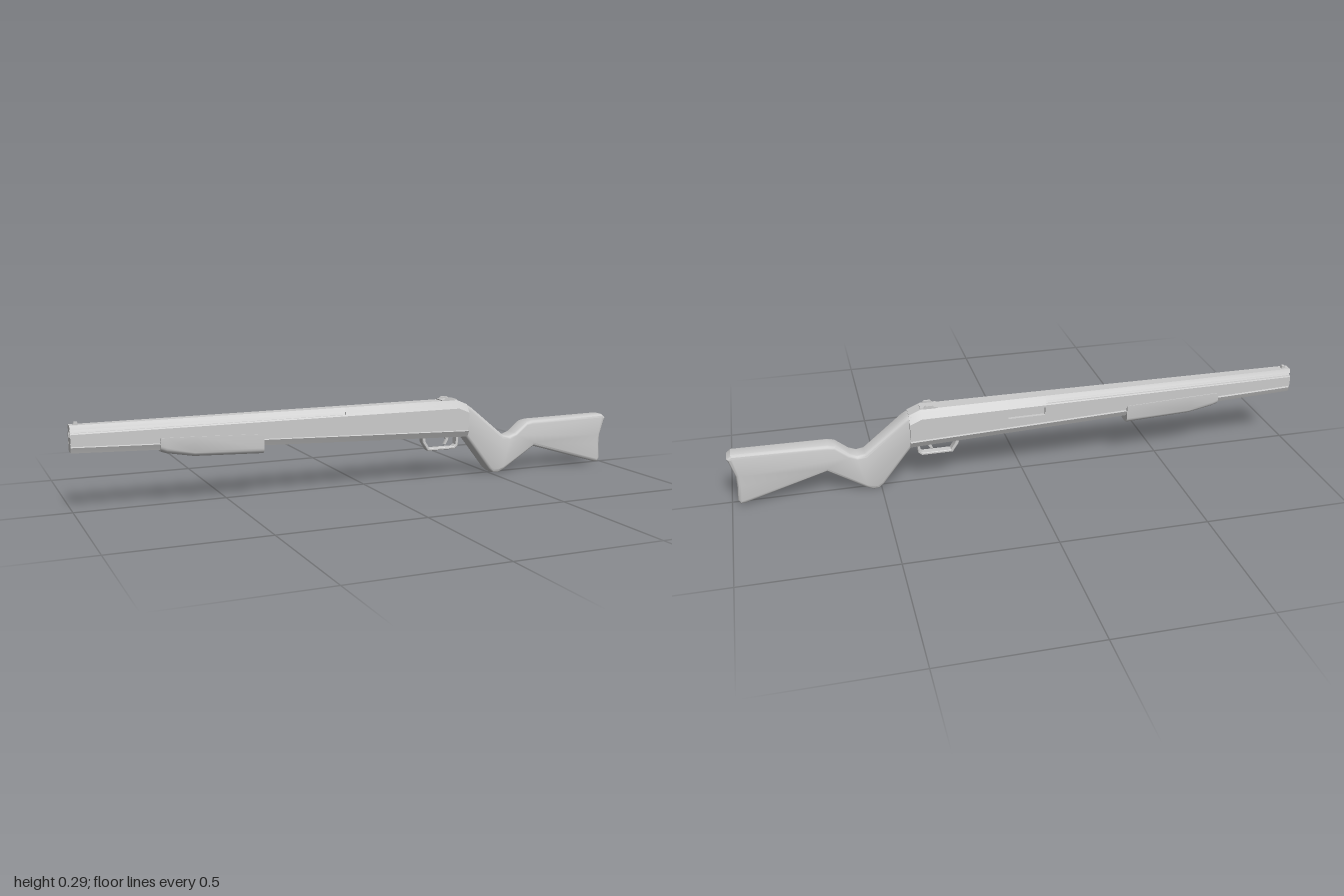
import * as THREE from 'three';
import { toCreasedNormals } from 'three/addons/utils/BufferGeometryUtils.js';

const material = new THREE.MeshStandardMaterial({ color: 0xcccccc });
const thin = new THREE.MeshStandardMaterial({ color: 0xcccccc, side: THREE.DoubleSide });
const lerp = THREE.MathUtils.lerp;

function add(parent, name, geometry, x = 0, y = 0, z = 0, mat = material) {
  const mesh = new THREE.Mesh(geometry, mat);
  mesh.name = name;
  mesh.position.set(x, y, z);
  parent.add(mesh);
  return mesh;
}

// Skin rings of [z, y] points placed along x
function loft(stations, crease) {
  const pos = [], t = new THREE.Triangle();
  const tri = (...p) => {
    t.set(...p);
    if (t.getArea() > 1e-9) p.forEach(v => pos.push(v.x, v.y, v.z));
  };
  const rings = stations.map(s => s.ring.map(([z, y]) => new THREE.Vector3(s.x, y, z)));
  for (let i = 0; i + 1 < rings.length; i++) {
    const A = rings[i], B = rings[i + 1], n = A.length;
    for (let j = 0; j < n; j++) {
      const k = (j + 1) % n;
      tri(A[j], A[k], B[k]);
      tri(A[j], B[k], B[j]);
    }
  }
  const g = new THREE.BufferGeometry();
  g.setAttribute('position', new THREE.Float32BufferAttribute(pos, 3));
  g.computeVertexNormals();
  return toCreasedNormals(g, crease);
}

// Flat end for a ring, facing -x or +x, with an optional round hole
function cap(parent, name, station, dir, hole) {
  const shape = new THREE.Shape(station.ring.map(([z, y]) => new THREE.Vector2(-dir * z, y)));
  if (hole) shape.holes.push(new THREE.Path().absarc(0, hole.y, hole.r, 0, Math.PI * 2, true));
  const mesh = add(parent, name, new THREE.ShapeGeometry(shape, 12), station.x);
  mesh.rotation.y = dir * Math.PI / 2;
}

// Body cross-section: chamfered top, side grooves, seam above the lower tube
function bodySection(x, { groove = 0, port = 0, drop = 0 } = {}) {
  const f = (x + 1) / 1.38;
  const w = lerp(0.026, 0.045, f), t = lerp(0.015, 0.025, f);
  const seam = lerp(0.23, 0.187, f), base = lerp(0.199, 0.152, f);
  const top = 0.286 - drop, shoulder = 0.258 - drop;
  const at = k => [lerp(t, w, k), lerp(top, shoulder, k)];
  const half = side => {
    const p = side < 0 ? port * 0.012 : 0;
    const d = groove * 0.007;
    const [z1, y1] = at(0.5), [z2, y2] = at(0.85);
    return [
      [t, top], [z1, y1], [z1 - d, y1], [z2 - d, y2], [z2, y2], [w, shoulder],
      [w, 0.250 - drop], [w - p, 0.250 - drop], [w - p, 0.222], [w, 0.222],
      [w, seam], [w - 0.007, seam], [w - 0.007, seam - 0.011], [w, seam - 0.013],
      [w * 0.72, base], [0.015, base], [0.015, base + port * 0.012],
    ].map(([z, y]) => [z * side, y]);
  };
  return { x, ring: [...half(1), ...half(-1).reverse()] };
}

// Sliding grip: a rounded trough under the barrel
function gripSection(x, w, top, base) {
  const r = Math.min(0.02, (top - base) * 0.45), ring = [[0, top], [w, top]];
  for (let i = 0; i <= 5; i++) {
    const a = i / 5 * Math.PI / 2;
    ring.push([w - r + r * Math.cos(a), base + r - r * Math.sin(a)]);
  }
  const left = ring.slice(1).reverse().map(([z, y]) => [-z, y]);
  return { x, ring: [...ring, ...left] };
}

// Side profile extruded across z with a rounded edge
function slab(points, halfWidth, bevel, segments, hole) {
  const shape = new THREE.Shape(points.map(p => new THREE.Vector2(...p)));
  if (hole) shape.holes.push(new THREE.Path(hole.map(p => new THREE.Vector2(...p))));
  const depth = 2 * (halfWidth - bevel);
  const g = new THREE.ExtrudeGeometry(shape, {
    depth, bevelEnabled: bevel > 0, bevelSize: bevel, bevelThickness: bevel,
    bevelOffset: -bevel, bevelSegments: segments,
  });
  g.translate(0, 0, -depth / 2);
  return toCreasedNormals(g, 0.6);
}

export function createModel() {
  const model = new THREE.Group();
  model.name = 'longGun';

  // Barrel and receiver in one tapering body
  const body = new THREE.Group();
  body.name = 'body';
  model.add(body);
  const stations = [
    bodySection(-1, { groove: 1 }), bodySection(-0.08, { groove: 1 }),
    bodySection(-0.08), bodySection(-0.075),
    bodySection(-0.075, { port: 1 }), bodySection(0.055, { port: 1 }),
    bodySection(0.055), bodySection(0.355), bodySection(0.395, { drop: 0.017 }),
  ];
  add(body, 'barrelAndReceiver', loft(stations, 0.35));
  cap(body, 'muzzleFace', stations[0], -1, { y: 0.257, r: 0.013 });
  cap(body, 'receiverBack', stations.at(-1), 1);
  const bore = new THREE.CylinderGeometry(0.013, 0.013, 0.12, 20, 1, true).rotateZ(Math.PI / 2);
  add(body, 'bore', bore, -0.94, 0.257, 0, thin);
  const plug = new THREE.CircleGeometry(0.013, 20).rotateY(-Math.PI / 2);
  add(body, 'boreEnd', plug, -0.88, 0.257, 0);

  // Sliding fore grip
  const grip = new THREE.Group();
  grip.name = 'foreGrip';
  model.add(grip);
  const gs = [
    gripSection(-0.72, 0.032, 0.228, 0.182), gripSection(-0.70, 0.033, 0.228, 0.175),
    gripSection(-0.61, 0.035, 0.226, 0.159), gripSection(-0.375, 0.037, 0.218, 0.150),
  ];
  add(grip, 'foreGripShell', loft(gs, 0.5));
  cap(grip, 'foreGripFront', gs[0], -1);
  cap(grip, 'foreGripBack', gs.at(-1), 1);

  // Angled wrist and shoulder stock
  add(model, 'stock', slab([
    [0.34, 0.165], [0.385, 0.155], [0.41, 0.125], [0.49, 0.022], [0.508, 0.007], [0.53, 0.005],
    [0.555, 0.016], [0.68, 0.094], [0.955, 0.012], [0.972, 0.01], [0.98, 0.025], [0.976, 0.08],
    [0.978, 0.115], [0.995, 0.17], [1.0, 0.182], [0.985, 0.194], [0.67, 0.191], [0.645, 0.186],
    [0.60, 0.15], [0.575, 0.14], [0.55, 0.144], [0.415, 0.255], [0.39, 0.27], [0.34, 0.275],
  ], 0.033, 0.012, 3));

  // Trigger guard and trigger
  add(model, 'triggerGuard', slab(
    [[0.222, 0.165], [0.226, 0.138], [0.247, 0.106], [0.355, 0.106], [0.368, 0.118], [0.372, 0.165]],
    0.014, 0.002, 1,
    [[0.235, 0.160], [0.237, 0.141], [0.253, 0.115], [0.351, 0.115], [0.359, 0.122], [0.361, 0.160]]));
  add(model, 'trigger', slab(
    [[0.315, 0.165], [0.322, 0.142], [0.314, 0.124], [0.322, 0.122], [0.333, 0.14], [0.335, 0.165]],
    0.005, 0.001, 1));

  // Sights
  add(model, 'frontSight', slab([[-0.988, 0.284], [-0.97, 0.284], [-0.974, 0.295], [-0.984, 0.295]],
    0.006, 0, 1));
  add(model, 'rearSightBase', new THREE.BoxGeometry(0.06, 0.006, 0.046), 0.325, 0.286, 0);
  for (const side of [1, -1]) {
    const ear = slab([[0.302, 0.284], [0.348, 0.284], [0.336, 0.296], [0.315, 0.296]], 0.004, 0, 1);
    add(model, side > 0 ? 'rearSightFrontEar' : 'rearSightBackEar', ear, 0, 0, side * 0.021);
  }
  return model;
}
